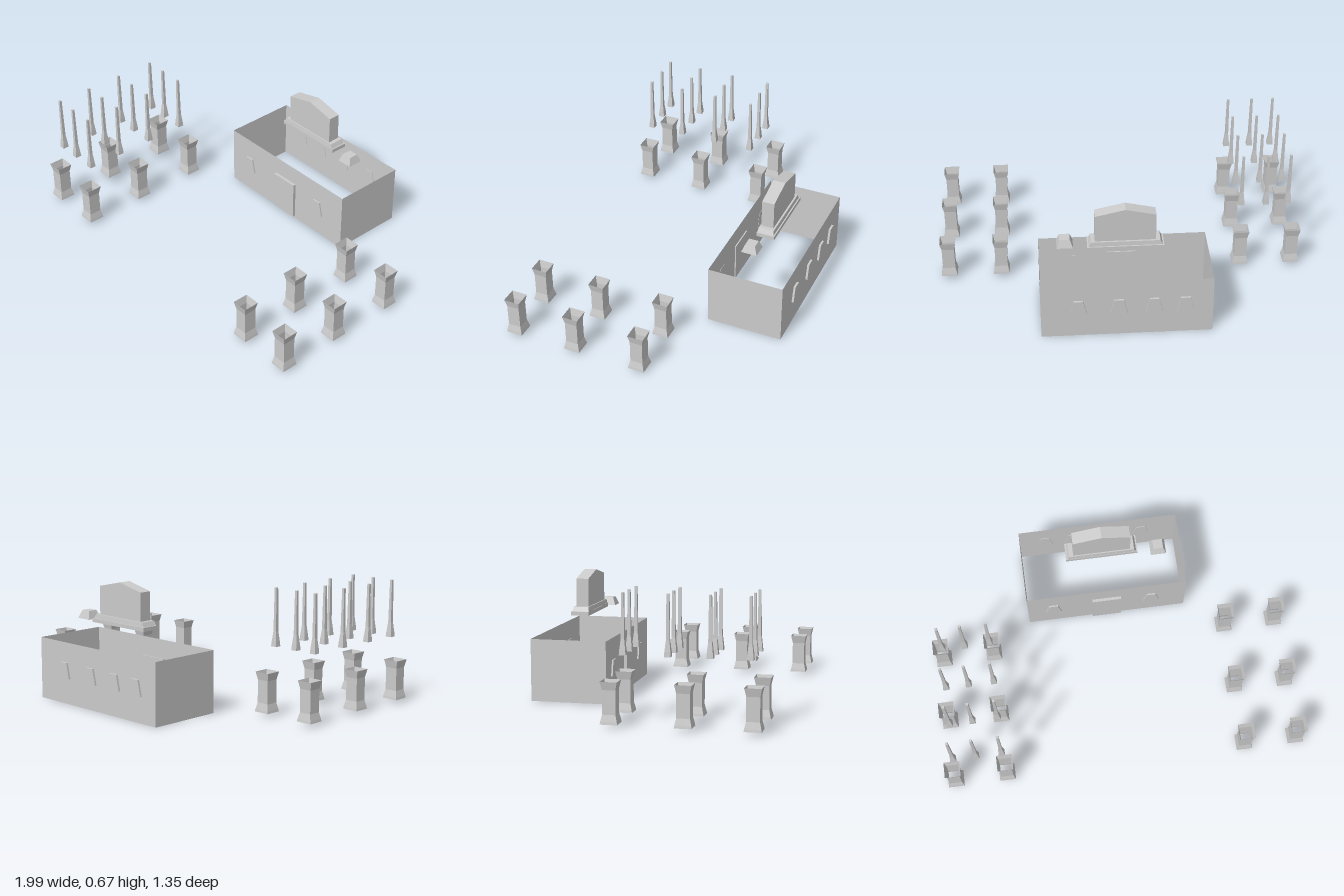
import * as THREE from 'three';

const mat = new THREE.MeshStandardMaterial({ color: 0xcccccc, flatShading: true, side: THREE.DoubleSide });

function add(parent, name, geometry, x = 0, y = 0, z = 0) {
  const mesh = new THREE.Mesh(geometry, mat);
  mesh.name = name;
  mesh.position.set(x, y, z);
  parent.add(mesh);
  return mesh;
}

// Square section swept up a profile of [half width, height]
function squareProfile(profile) {
  const points = profile.map(([h, y]) => new THREE.Vector2(h * Math.SQRT2, y));
  return new THREE.LatheGeometry(points, 4, Math.PI / 4);
}

// Flat outline given depth along z, starting at z = 0
function extrude(points, depth) {
  const shape = new THREE.Shape(points.map(([x, y]) => new THREE.Vector2(x, y)));
  return new THREE.ExtrudeGeometry(shape, { depth, bevelEnabled: false });
}

// Box spanning the given limits
function boxBetween(parent, name, x0, x1, y0, y1, z0, z1) {
  return add(parent, name, new THREE.BoxGeometry(x1 - x0, y1 - y0, z1 - z0),
    (x0 + x1) / 2, (y0 + y1) / 2, (z0 + z1) / 2);
}

export function createModel() {
  const model = new THREE.Group();

  // Building: four thin walls, open above and below
  const building = new THREE.Group();
  building.name = 'building';
  model.add(building);
  const walls = squareProfile([[0.5, 0], [0.5, 0.336]]);
  walls.scale(0.9, 1, 0.415);
  add(building, 'walls', walls, 0.004, 0, -0.457);
  boxBetween(building, 'door', -0.077, 0.085, 0.015, 0.232, -0.256, -0.233);

  // Tapered windows, two in front and four behind
  const windowShape = [[-0.045, 0], [0.045, 0], [0.025, 0.086], [-0.025, 0.086]];
  for (const x of [-0.3, 0.26])
    add(building, 'frontWindow', extrude(windowShape, 0.01), x, 0.131, -0.251);
  for (const x of [-0.3, -0.138, 0.047, 0.258])
    add(building, 'backWindow', extrude(windowShape, 0.015), x, 0.141, -0.676);

  // Gabled crest on a stepped base
  const crest = new THREE.Group();
  crest.name = 'crest';
  model.add(crest);
  boxBetween(crest, 'crestLowerStep', -0.199, 0.201, 0.433, 0.454, -0.515, -0.416);
  const step = squareProfile([[0, 0], [0.5, 0], [0.47, 0.024], [0, 0.024]]);
  step.scale(0.385, 1, 0.09);
  add(crest, 'crestUpperStep', step, 0.001, 0.454, -0.463);
  add(crest, 'crestGable', extrude(
    [[-0.157, 0.476], [0.16, 0.476], [0.16, 0.631], [0.0015, 0.667], [-0.157, 0.631]], 0.068), 0, 0, -0.495);

  // Loose tapered block beside the crest
  add(model, 'taperedBlock',
    squareProfile([[0, 0.43], [0.043, 0.43], [0.027, 0.474], [0, 0.474]]), 0.316, 0, -0.437);

  // Hollow square columns, flared at both ends
  const column = squareProfile([[0.044, 0.02], [0.042, 0.033], [0.034, 0.068], [0.034, 0.19], [0.043, 0.232]]);
  for (const x of [-0.956, -0.67, 0.661, 0.95])
    for (const z of [-0.083, 0.287, 0.627]) add(model, 'column', column, x, 0, z);

  // Slender poles with a flared foot
  const pole = squareProfile([[0, 0.357], [0.017, 0.357], [0.015, 0.383], [0.009, 0.437], [0.0065, 0.664], [0, 0.664]]);
  for (const x of [-0.934, -0.811, -0.674])
    for (const z of [-0.025, 0.2, 0.408, 0.604]) add(model, 'pole', pole, x, 0, z);

  return model;
}
